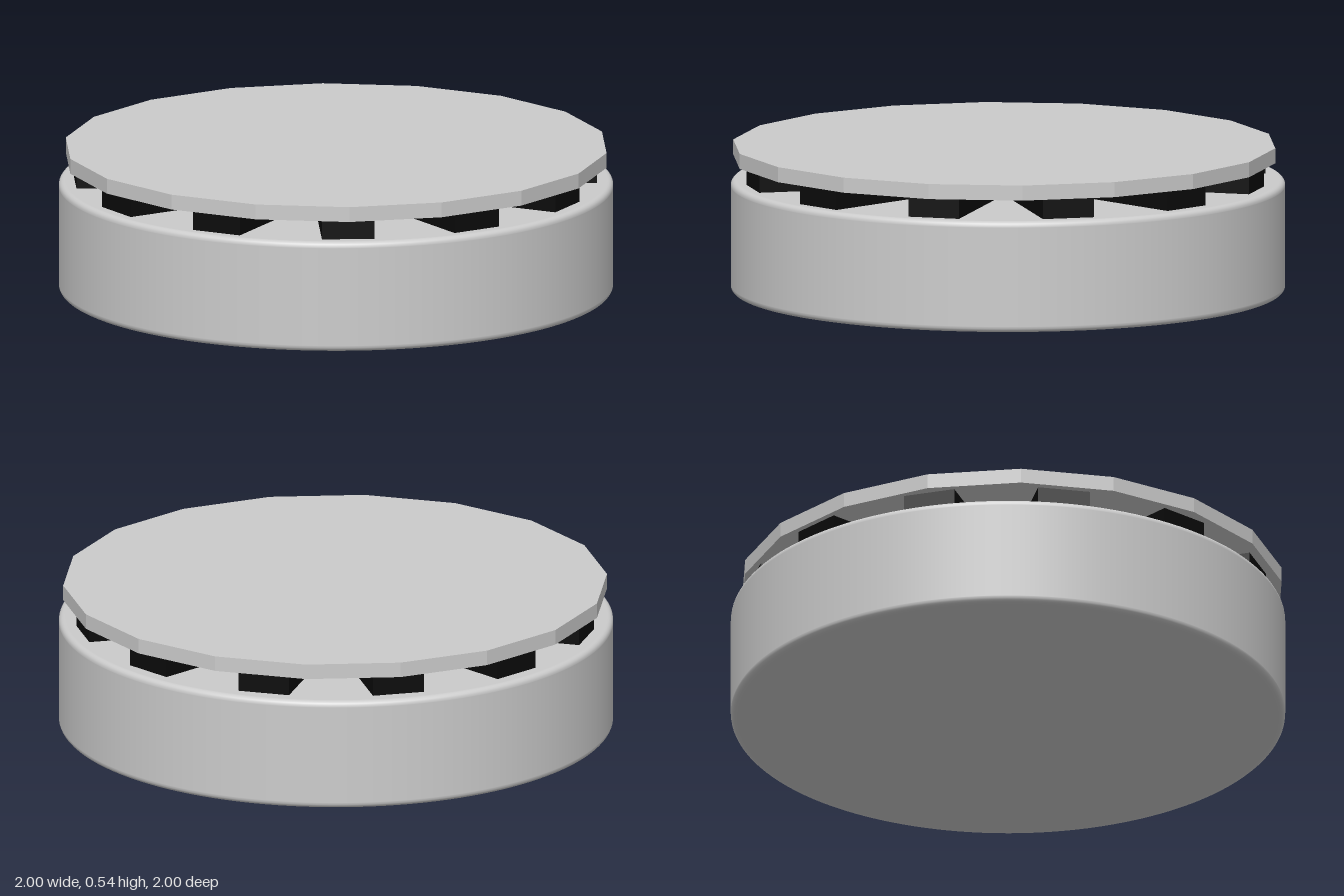
import * as THREE from 'three';

export function createModel() {
  const model = new THREE.Group();
  const grey = new THREE.MeshStandardMaterial({ color: 0xcccccc });
  const greyFlat = new THREE.MeshStandardMaterial({ color: 0xcccccc, flatShading: true });
  const black = new THREE.MeshStandardMaterial({ color: 0x0a0a0a });

  const add = (name, geometry, material, x, y, z, parent = model) => {
    const mesh = new THREE.Mesh(geometry, material);
    mesh.name = name;
    mesh.position.set(x, y, z);
    parent.add(mesh);
    return mesh;
  };

  // Drum with rounded rims; the extra points beside each round keep the flats flat
  const R = 1, H = 0.405, r = 0.02, eps = 0.002;
  const profile = [new THREE.Vector2(0, 0), new THREE.Vector2(R - r - eps, 0)];
  const corner = (cy, start) => {
    for (let i = 0; i <= 5; i++) {
      const a = start + (i / 5) * Math.PI / 2;
      profile.push(new THREE.Vector2(R - r + r * Math.cos(a), cy + r * Math.sin(a)));
    }
  };
  corner(r, -Math.PI / 2);
  profile.push(new THREE.Vector2(R, r + eps), new THREE.Vector2(R, H - r - eps));
  corner(H - r, 0);
  profile.push(new THREE.Vector2(R - r - eps, H), new THREE.Vector2(0, H));
  add('base', new THREE.LatheGeometry(profile, 128), grey, 0, 0, 0);

  // Twelve spacer arms, made of six bars crossing at the middle
  const spacers = new THREE.Group();
  spacers.name = 'spacers';
  spacers.position.set(-0.005, 0, 0.005);
  model.add(spacers);
  const bar = new THREE.BoxGeometry(0.19, 0.075, 1.88);
  for (let i = 0; i < 6; i++) {
    add('spacerBar', bar, black, 0, 0.4425, 0, spacers).rotation.y = i * Math.PI / 6;
  }

  // Faceted lid, slightly off centre, with a corner pointing to +x
  add('lid', new THREE.CylinderGeometry(0.983, 0.983, 0.055, 18, 1, false, Math.PI / 2),
    greyFlat, -0.007, 0.5075, 0.012);

  return model;
}
